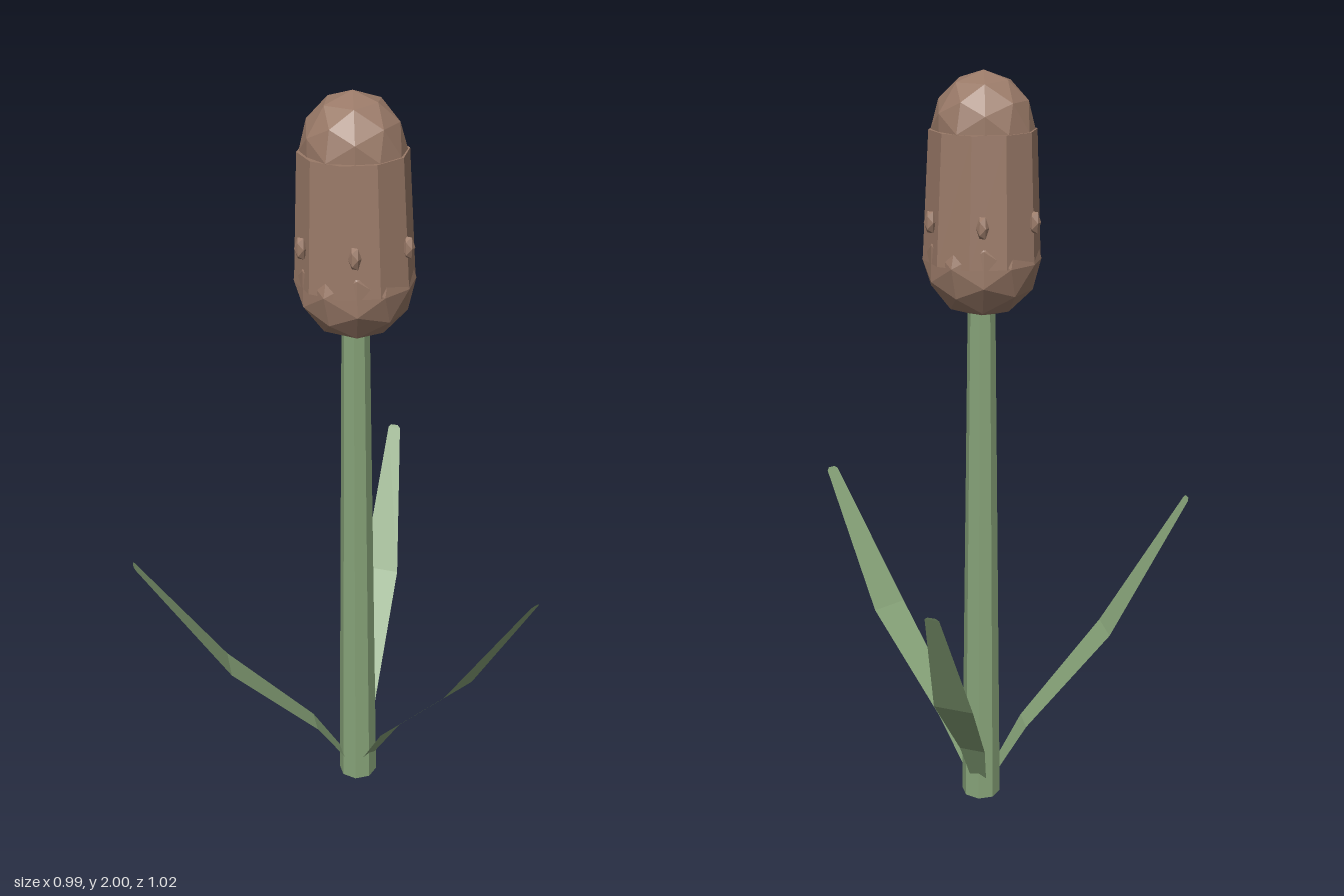
import * as THREE from 'three';

export function createModel() {
  const green = new THREE.MeshStandardMaterial({ color: 0x86a278 });
  green.name = 'leafGreen';
  green.flatShading = true;
  green.side = THREE.DoubleSide;
  const brown = new THREE.MeshStandardMaterial({ color: 0x9a7a68 });
  brown.name = 'seedBrown';
  brown.flatShading = true;

  const model = new THREE.Group();
  model.name = 'reedPlant';
  const add = (parent, name, geometry, material) => {
    const mesh = new THREE.Mesh(geometry, material);
    mesh.name = name;
    parent.add(mesh);
    return mesh;
  };

  // Stem: tapered octagon leaning slightly towards the head
  const base = new THREE.Vector3(-0.09, 0, 0.058);
  const headX = -0.073, headZ = 0.065, stemTop = 1.46;
  const stem = new THREE.CylinderGeometry(0.035, 0.054, stemTop, 8);
  stem.rotateY(Math.PI / 8);
  stem.translate(0, stemTop / 2, 0);
  const p = stem.attributes.position;
  for (let i = 0; i < p.count; i++) {
    const t = p.getY(i) / stemTop;
    p.setX(i, p.getX(i) + THREE.MathUtils.lerp(base.x, headX, t));
    p.setZ(i, p.getZ(i) + THREE.MathUtils.lerp(base.z, headZ, t));
  }
  stem.computeVertexNormals();
  add(model, 'stem', stem, green);

  // Seed head: ten-sided body between two faceted domes
  const head = new THREE.Group();
  head.name = 'seedHead';
  head.position.set(headX, 0, headZ);
  model.add(head);
  const body = new THREE.CylinderGeometry(0.134, 0.149, 0.32, 10);
  body.rotateY(Math.PI / 2);
  add(head, 'headBody', body, brown).position.y = 1.70;
  const dome = (name, radius, height, y) => {
    const mesh = add(head, name, new THREE.IcosahedronGeometry(1, 1), brown);
    mesh.scale.set(radius, height, radius);
    mesh.position.y = y;
  };
  dome('headTop', 0.128, 0.14, 1.86);
  dome('headBottom', 0.15, 0.15, 1.54);

  // Small seeds around the body
  for (let i = 0; i < 6; i++) {
    const a = (i * Math.PI) / 3;
    const seed = add(head, 'seed', new THREE.IcosahedronGeometry(1, 0), brown);
    seed.scale.set(0.016, 0.031, 0.016);
    seed.position.set(0.147 * Math.cos(a), 1.645, 0.147 * Math.sin(a));
  }

  // Leaves: bent strips, each section is [reach, height, width]
  const sections = [
    [0.02, 0.03, 0.04],
    [0.125, 0.2, 0.072],
    [0.363, 0.46, 0.105],
    [0.592, 0.825, 0.036],
    [0.596, 0.832, 0.02],
  ];
  const makeLeaf = (angle) => {
    const across = angle + Math.PI / 2 + 0.12;
    const points = [], index = [];
    sections.forEach(([r, y, w], i) => {
      for (const s of [-0.5, 0.5]) {
        points.push(
          base.x + r * Math.cos(angle) + s * w * Math.cos(across),
          y,
          base.z + r * Math.sin(angle) + s * w * Math.sin(across));
      }
      if (i) {
        const k = i * 2;
        index.push(k - 2, k - 1, k, k - 1, k + 1, k);
      }
    });
    const g = new THREE.BufferGeometry();
    g.setAttribute('position', new THREE.Float32BufferAttribute(points, 3));
    g.setIndex(index);
    const flat = g.toNonIndexed();
    flat.computeVertexNormals();
    return flat;
  };
  for (let i = 0; i < 3; i++) {
    add(model, 'leaf', makeLeaf(THREE.MathUtils.degToRad(12 + 120 * i)), green);
  }
  return model;
}
